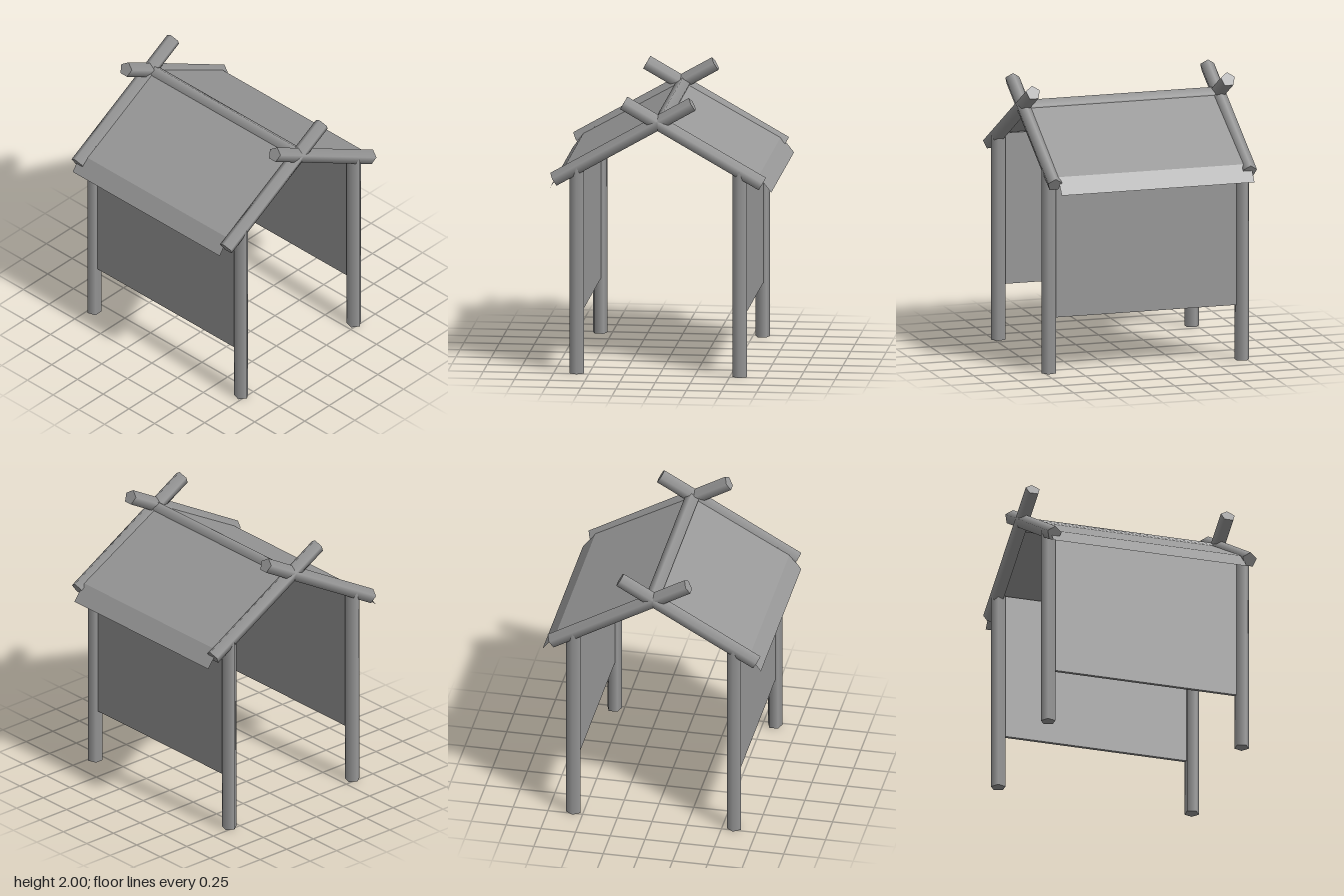
import * as THREE from 'three';

const R = 0.054;

export function createModel() {
  const group = new THREE.Group();
  const grey = new THREE.MeshStandardMaterial({ color: 0x999999, side: THREE.DoubleSide });
  grey.name = 'grey';
  const V = (x, y, z) => new THREE.Vector3(x, y, z);
  const add = (name, geometry) => {
    const mesh = new THREE.Mesh(geometry, grey);
    mesh.name = name;
    group.add(mesh);
    return mesh;
  };

  // Five-sided pole from a to b, with one corner turned towards "corner"
  function pole(name, a, b, corner) {
    const dir = b.clone().sub(a);
    const length = dir.length();
    dir.normalize();
    const z = corner.clone().addScaledVector(dir, -corner.dot(dir)).normalize();
    const x = dir.clone().cross(z);
    const g = new THREE.CylinderGeometry(R, R, length, 5);
    g.applyMatrix4(new THREE.Matrix4().makeBasis(x, dir, z));
    const mid = a.clone().add(b).multiplyScalar(0.5);
    add(name, g).position.copy(mid);
  }

  const up = V(0, 1, 0);
  for (const s of [-1, 1]) {
    const side = s > 0 ? 'left' : 'right';
    // Corner posts
    pole(side + 'FrontPost', V(s * 0.717, 0, 0.587), V(s * 0.717, 1.49, 0.587), V(s, 0, 0));
    pole(side + 'BackPost', V(s * 0.717, 0, -0.57), V(s * 0.717, 1.49, -0.57), V(s, 0, 0));
    // Crossing rafters
    const x = s * 0.723;
    pole(side + 'FrontRafter', V(x, 1.391, 0.75), V(x, 1.953, -0.235), up);
    pole(side + 'BackRafter', V(x, 1.391, -0.73), V(x, 1.953, 0.255), up);
  }

  // Ridge pole
  pole('ridgePole', V(-0.7, 1.8, -0.005), V(0.7, 1.8, -0.005), up);

  // Hanging wall panels
  for (const [name, z] of [['frontWall', 0.587], ['backWall', -0.57]]) {
    add(name, new THREE.BoxGeometry(1.4, 1.09, 0.025)).position.set(0, 0.945, z);
  }

  // Thin roof sheets: slope and drooping eave
  function sheet(name, y0, z0, y1, z1) {
    const g = new THREE.PlaneGeometry(1.43, 1);
    const p = g.attributes.position;
    for (let i = 0; i < 4; i++) {
      const top = i < 2;
      // Keep the outward face on the outside for both slopes
      const flip = z1 < z0 ? -1 : 1;
      p.setXYZ(i, p.getX(i) * flip - 0.025, top ? y0 : y1, top ? z0 : z1);
    }
    g.computeVertexNormals();
    add(name, g);
  }
  for (const [name, s, eave] of [['front', 1, 0.782], ['back', -1, 0.79]]) {
    sheet(name + 'Roof', 1.832, 0, 1.44, s * 0.7);
    sheet(name + 'Eave', 1.44, s * 0.7, 1.325, s * eave);
  }

  return group;
}
